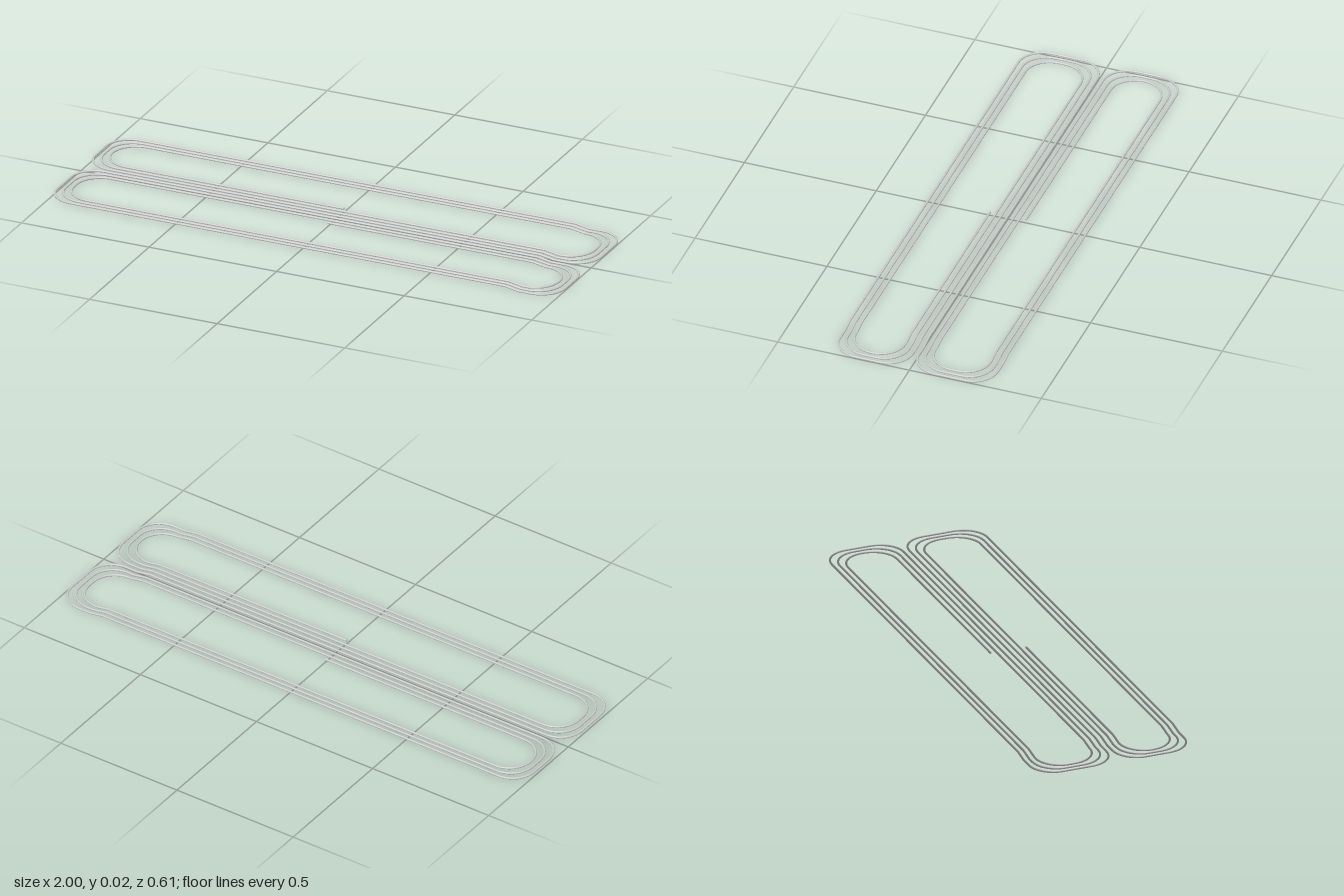
import * as THREE from 'three';

const R = 0.004;          // wire radius
const PITCH = 0.0226;     // spacing between turns
const BEND = 0.092;       // corner radius
const HIGH = 0.014, LOW = 0.004;
const RAMP = [0.8, 0.855]; // the wire steps down between these x positions

const heightAt = x => THREE.MathUtils.mapLinear(
  THREE.MathUtils.clamp(x, RAMP[0], RAMP[1]), RAMP[0], RAMP[1], HIGH, LOW);

// Curve that passes exactly through its listed points
class WireCurve extends THREE.Curve {
  constructor(points) { super(); this.points = points; }
  getPointAt(u, target = new THREE.Vector3()) {
    return target.copy(this.points[Math.round(u * (this.points.length - 1))]);
  }
  getTangentAt(u, target = new THREE.Vector3()) {
    const p = this.points, n = p.length - 1, i = Math.round(u * n);
    target.set(0, 0, 0);
    if (i > 0) target.add(p[i].clone().sub(p[i - 1]).normalize());
    if (i < n) target.add(p[i + 1].clone().sub(p[i]).normalize());
    return target.normalize();
  }
}

// Corners of the rear coil in (x, z), from its inner end out to the centre
function coilCorners() {
  const pts = [[0, -3 * PITCH]];
  for (let turn = 2; turn >= 0; turn--) {
    const x = 0.996 - turn * PITCH, z = -0.299 + turn * 0.0218;
    pts.push([-x, -(turn + 1) * PITCH], [-x, z], [x, z], [x, -turn * PITCH]);
  }
  return pts.map(([x, z]) => new THREE.Vector2(x, z));
}

// Round every corner, then add points where straight runs meet the ramp
function wirePoints(corners) {
  const flat = [corners[0]];
  for (let i = 1; i < corners.length - 1; i++) {
    const c = corners[i];
    const a = corners[i - 1].clone().sub(c).normalize().multiplyScalar(BEND);
    const b = corners[i + 1].clone().sub(c).normalize().multiplyScalar(BEND);
    const centre = c.clone().add(a).add(b);
    for (let k = 0; k <= 10; k++) {
      const t = k / 10 * Math.PI / 2;
      flat.push(centre.clone().addScaledVector(b, -Math.cos(t)).addScaledVector(a, -Math.sin(t)));
    }
  }
  flat.push(corners[corners.length - 1]);

  const out = [];
  flat.forEach((p, i) => {
    out.push(new THREE.Vector3(p.x, heightAt(p.x), p.y));
    const q = flat[i + 1];
    if (!q || Math.abs(q.x - p.x) < 0.2) return;
    const stops = q.x > p.x ? RAMP : [...RAMP].reverse();
    for (const x of stops) {
      if ((x - p.x) * (x - q.x) < 0) out.push(new THREE.Vector3(x, heightAt(x), p.y));
    }
  });
  return out;
}

export function createModel() {
  const group = new THREE.Group();
  group.name = 'doubleCoil';
  const material = new THREE.MeshStandardMaterial({ color: 0xcccccc });

  // One continuous wire: the rear coil, then the same coil turned half round
  const rear = coilCorners();
  const front = rear.map(p => p.clone().negate()).reverse();
  const points = wirePoints([...rear, ...front]);
  const wire = new THREE.Mesh(
    new THREE.TubeGeometry(new WireCurve(points), points.length - 1, R, 12, false), material);
  wire.name = 'coilWire';
  group.add(wire);

  // Flat caps on the two inner ends
  const ends = [[points[0], Math.PI / 2, 'rearWireEnd'],
    [points[points.length - 1], -Math.PI / 2, 'frontWireEnd']];
  for (const [p, turn, name] of ends) {
    const cap = new THREE.Mesh(new THREE.CircleGeometry(R, 12), material);
    cap.position.copy(p);
    cap.rotation.y = turn;
    cap.name = name;
    group.add(cap);
  }
  return group;
}
